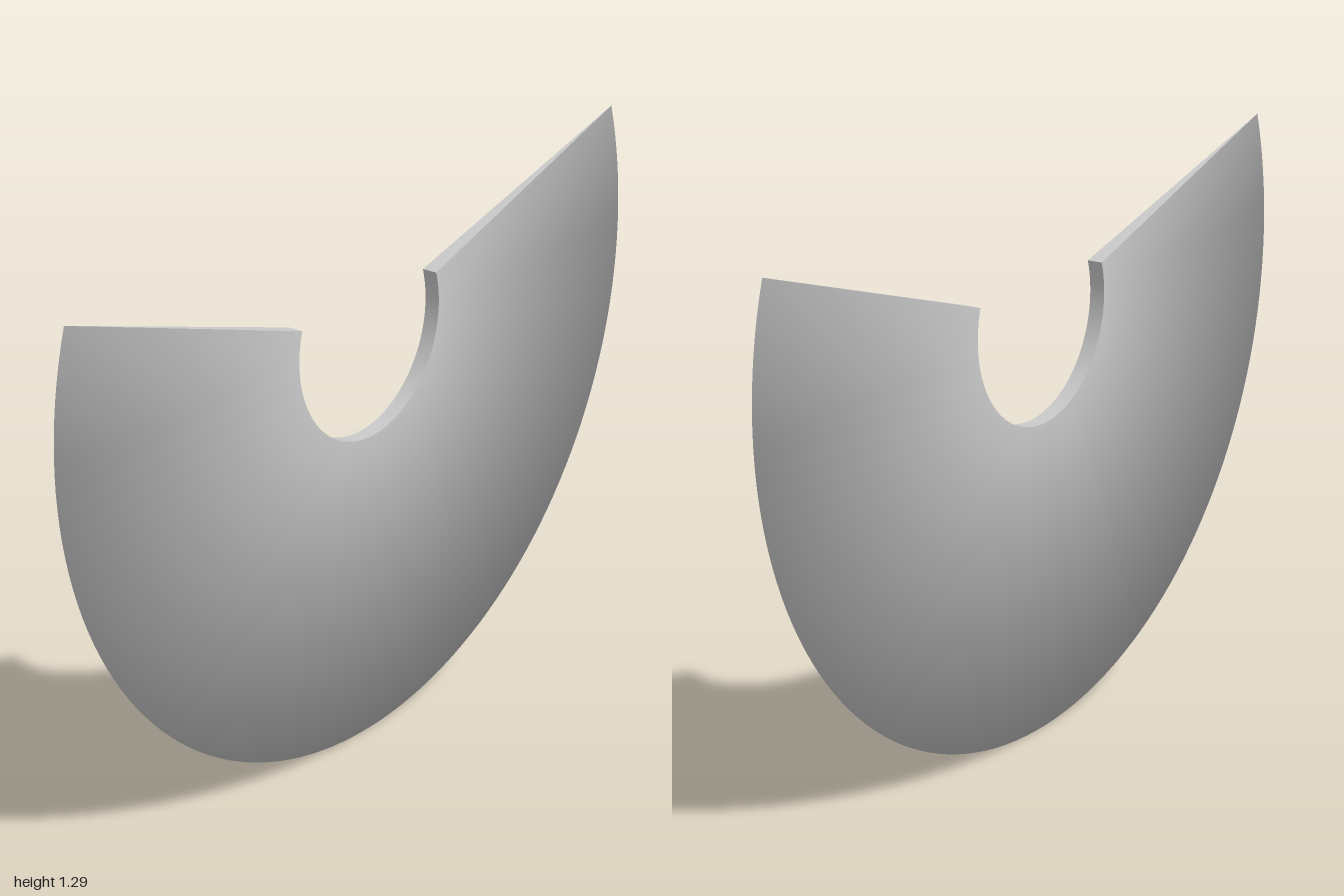
import * as THREE from 'three';

const INNER = 0.25, OUTER = 1, HALF = 0.019; // radii and half thickness at the hole
const REACH = THREE.MathUtils.degToRad(107); // sweep to either side of the bottom

export function createModel() {
  const model = new THREE.Group();
  model.name = 'crescentBlade';
  const material = new THREE.MeshStandardMaterial({ color: 0xcccccc, side: THREE.DoubleSide });

  // Stands the lathe axis along z and lifts the disc centre to y = 1
  const add = (name, geometry) => {
    geometry.rotateX(Math.PI / 2).translate(0, OUTER, 0);
    const mesh = new THREE.Mesh(geometry, material);
    mesh.name = name;
    model.add(mesh);
  };
  const sweep = (...points) => new THREE.LatheGeometry(
    points.map(([r, z]) => new THREE.Vector2(r, z)), 96, -REACH, 2 * REACH);

  // Both faces taper to a knife edge, with smooth normals across the rim
  add('bladeFaces', sweep([INNER, -HALF], [OUTER, 0], [INNER, HALF]));

  // Wall around the central hole
  add('innerWall', sweep([INNER, HALF], [INNER, -HALF]));

  // Flat wedge ends
  const wedge = new THREE.Shape([
    new THREE.Vector2(INNER, -HALF),
    new THREE.Vector2(OUTER, 0),
    new THREE.Vector2(INNER, HALF),
  ]);
  for (const [name, phi] of [['rightEnd', -REACH], ['leftEnd', REACH]]) {
    add(name, new THREE.ShapeGeometry(wedge).rotateY(phi - Math.PI / 2));
  }
  return model;
}
